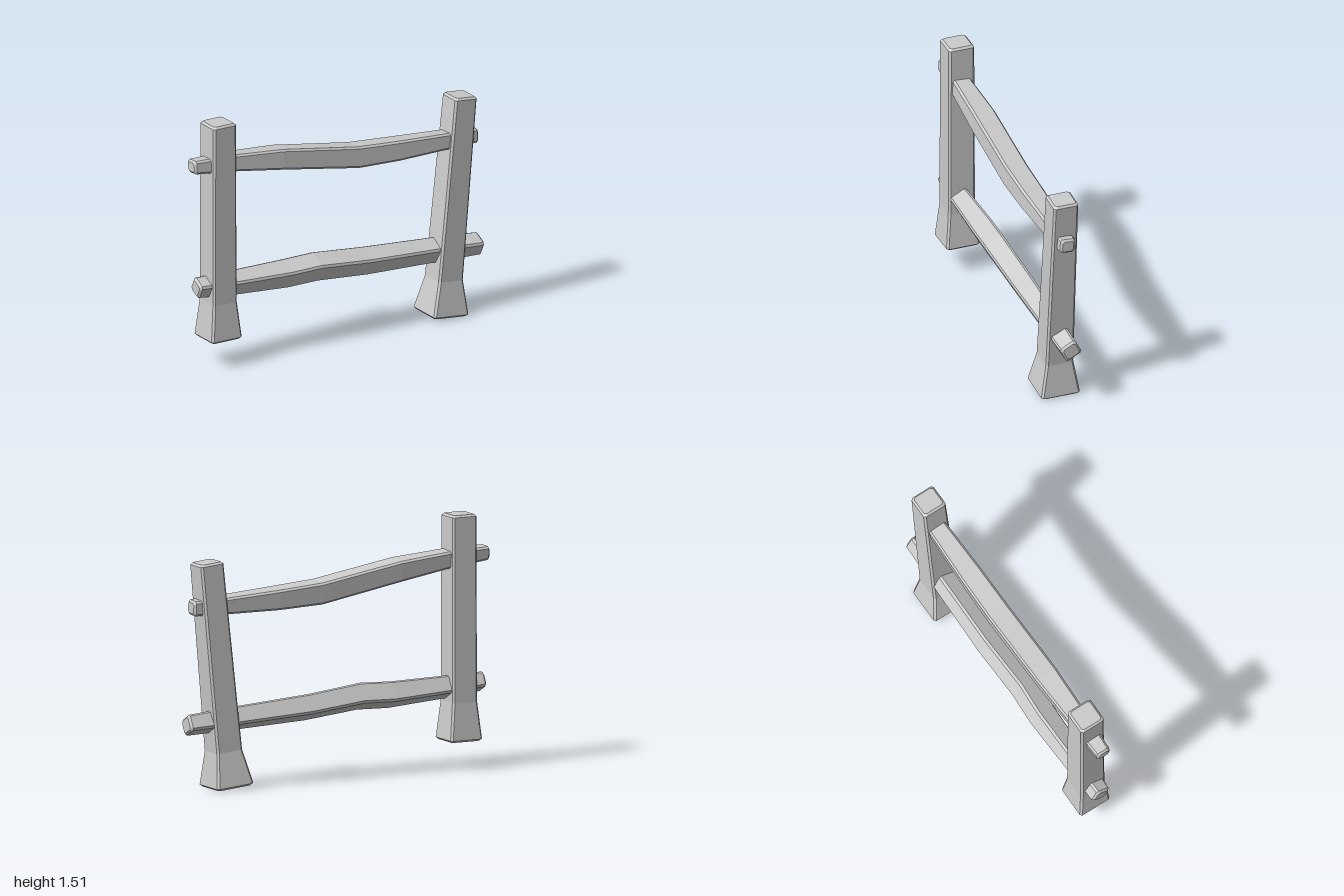
import * as THREE from 'three';

const BEVEL = 0.012;

// Lofts a chamfered rectangle through stations { p, a, b }: centre and half sizes along u and v (u x v = travel direction).
function loftBeam(name, stations, u, v, axis, material) {
  const first = stations[0], last = stations[stations.length - 1];
  const inset = (s, dir) => [
    { p: s.p, a: s.a - BEVEL, b: s.b - BEVEL },
    { p: s.p.clone().addScaledVector(axis, dir * BEVEL), a: s.a, b: s.b },
  ];
  const rings = [...inset(first, 1), ...stations.slice(1, -1), ...inset(last, -1).reverse()];
  const positions = [], index = [];
  for (const { p, a, b } of rings) {
    const c = BEVEL;
    const section = [[a, -b + c], [a, b - c], [a - c, b], [-a + c, b],
      [-a, b - c], [-a, -b + c], [-a + c, -b], [a - c, -b]];
    for (const [s, t] of section) {
      const q = p.clone().addScaledVector(u, s).addScaledVector(v, t);
      positions.push(q.x, q.y, q.z);
    }
  }
  // side faces
  for (let r = 0; r < rings.length - 1; r++) {
    for (let i = 0; i < 8; i++) {
      const j = (i + 1) % 8, lo = r * 8, hi = lo + 8;
      index.push(lo + i, lo + j, hi + j, lo + i, hi + j, hi + i);
    }
  }
  // end caps
  const end = (rings.length - 1) * 8;
  for (let i = 1; i < 7; i++) {
    index.push(0, i + 1, i, end, end + i, end + i + 1);
  }
  const indexed = new THREE.BufferGeometry();
  indexed.setAttribute('position', new THREE.Float32BufferAttribute(positions, 3));
  indexed.setIndex(index);
  const geometry = indexed.toNonIndexed();
  geometry.computeVertexNormals();
  const mesh = new THREE.Mesh(geometry, material);
  mesh.name = name;
  return mesh;
}

// Upright post with a flared foot; profile rows are [height, half width, half depth].
function makePost(name, profile, position, lean, material) {
  const stations = profile.map(([y, a, b]) => ({ p: new THREE.Vector3(0, y, 0), a: b, b: a }));
  const post = loftBeam(name, stations, new THREE.Vector3(0, 0, 1),
    new THREE.Vector3(1, 0, 0), new THREE.Vector3(0, 1, 0), material);
  post.position.set(...position);
  post.rotation.z = lean;
  return post;
}

// Crooked rail turned about its length; path rows are [x, y, z, half height, half depth].
function makeRail(name, path, roll, material) {
  const axis = new THREE.Vector3(1, 0, 0);
  const stations = path.map(([x, y, z, a, b]) => ({ p: new THREE.Vector3(x, y, z), a, b }));
  const u = new THREE.Vector3(0, 1, 0).applyAxisAngle(axis, roll);
  const v = new THREE.Vector3(0, 0, 1).applyAxisAngle(axis, roll);
  return loftBeam(name, stations, u, v, axis, material);
}

export function createModel() {
  const group = new THREE.Group();
  group.name = 'fence';
  const wood = new THREE.MeshStandardMaterial({ color: 0xcccccc, flatShading: true });

  // posts
  group.add(makePost('rightPost',
    [[0, 0.104, 0.104], [0.23, 0.082, 0.084], [1.34, 0.079, 0.08]],
    [-0.812, 0.17, -0.003], 0, wood));
  group.add(makePost('leftPost',
    [[0, 0.12, 0.121], [0.215, 0.084, 0.086], [1.34, 0.075, 0.077]],
    [0.725, 0.015, 0], -0.099, wood));

  // rails
  group.add(makeRail('topRail', [
    [-1.0, 1.267, 0.0, 0.04, 0.045],
    [-0.74, 1.25, 0.0, 0.05, 0.057],
    [-0.4, 1.208, 0.0, 0.062, 0.07],
    [0.12, 1.117, 0.0, 0.065, 0.07],
    [0.4, 1.1, 0.0, 0.06, 0.068],
    [0.74, 1.088, 0.0, 0.049, 0.058],
    [0.96, 1.083, 0.002, 0.044, 0.046],
  ], -0.07, wood));
  group.add(makeRail('bottomRail', [
    [-0.97, 0.505, 0.0, 0.047, 0.049],
    [-0.74, 0.49, 0.0, 0.055, 0.057],
    [-0.35, 0.472, -0.004, 0.063, 0.066],
    [-0.15, 0.477, 0.004, 0.064, 0.066],
    [0.2, 0.44, -0.006, 0.062, 0.065],
    [0.74, 0.408, -0.006, 0.056, 0.058],
    [0.995, 0.392, -0.005, 0.05, 0.054],
  ], 0.49, wood));

  return group;
}
